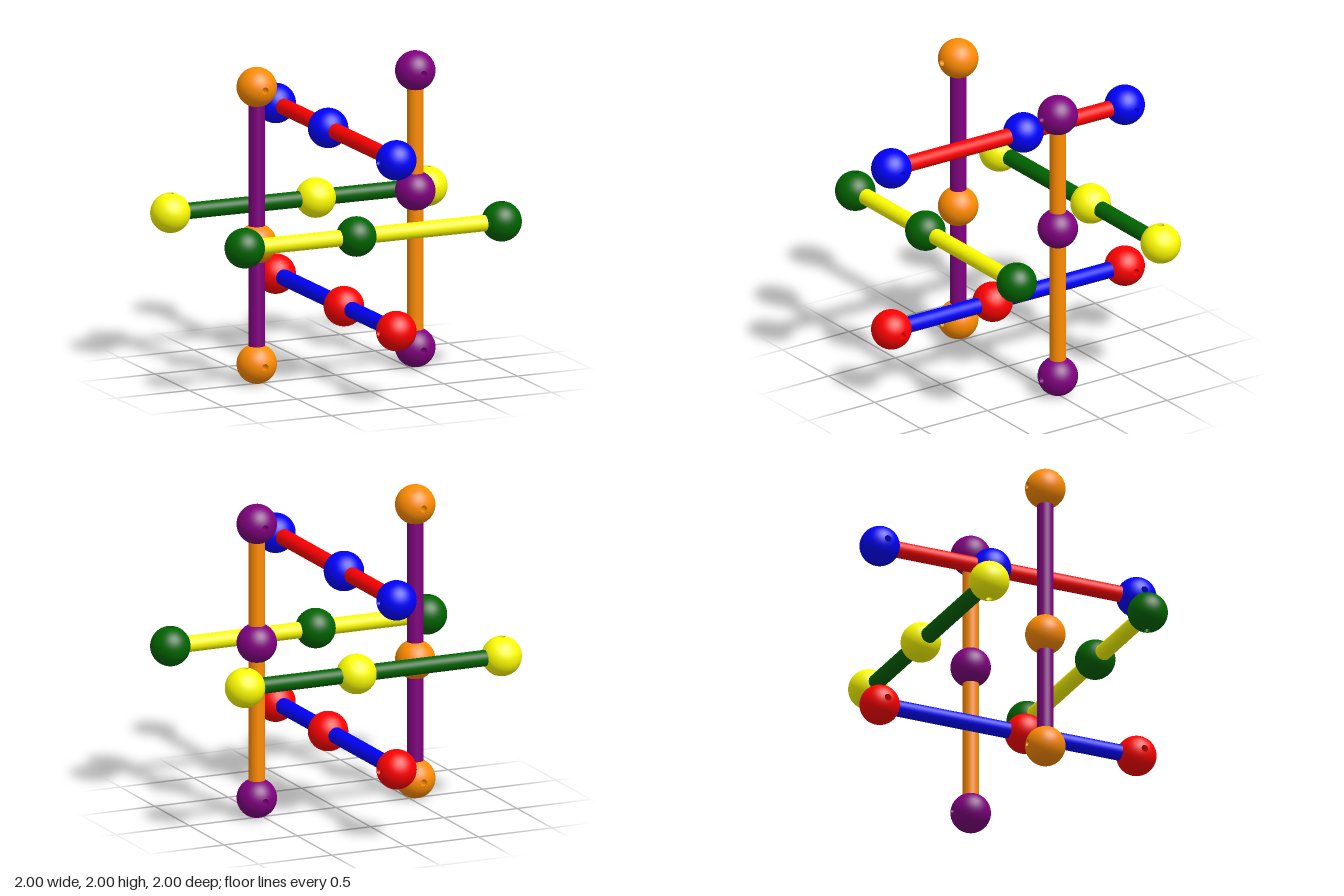
import * as THREE from 'three';
import { mergeGeometries } from 'three/addons/utils/BufferGeometryUtils.js';

const BEAD_R = 0.125, ROD_R = 0.051, HOLE_R = 0.022;
const END = 0.875;      // distance of end beads from the strut's middle
const OFFSET = 0.54;    // distance of each strut from the centre
const SHIFT = 0.115;    // how far each middle bead slides along its strut

// Sphere drilled through along its local y axis
function drilledBead() {
  const start = Math.asin(HOLE_R / BEAD_R), h = BEAD_R * Math.cos(start);
  const outer = [];
  for (let i = 0; i <= 28; i++) {
    const a = start + (Math.PI - 2 * start) * i / 28;
    outer.push(new THREE.Vector2(BEAD_R * Math.sin(a), -BEAD_R * Math.cos(a)));
  }
  const wall = [new THREE.Vector2(HOLE_R, h), new THREE.Vector2(HOLE_R, -h)];
  return mergeGeometries([new THREE.LatheGeometry(outer, 40), new THREE.LatheGeometry(wall, 40)]);
}

export function createModel() {
  const model = new THREE.Group();
  model.name = 'interlockingStruts';

  const colors = {
    orange: 0xff8c00, purple: 0x800080, red: 0xff0000,
    blue: 0x0000ff, yellow: 0xffff00, green: 0x006400,
  };
  const materials = {};
  for (const key in colors) materials[key] = new THREE.MeshStandardMaterial({ color: colors[key] });

  // Rod stops short of the drilled holes in the end beads
  const rodGeometry = new THREE.CylinderGeometry(ROD_R, ROD_R, 2 * (END - 0.06), 32).rotateZ(Math.PI / 2);
  const endGeometry = drilledBead();
  const middleGeometry = new THREE.SphereGeometry(BEAD_R, 40, 28);

  // One strut along local x, end holes along local y
  function strut(name, rodColor, beadColor, shift) {
    const group = new THREE.Group();
    group.name = name;
    const add = (part, geometry, color, x) => {
      const mesh = new THREE.Mesh(geometry, materials[color]);
      mesh.name = part;
      mesh.position.x = x;
      group.add(mesh);
    };
    add('rod', rodGeometry, rodColor, 0);
    add('endBead', endGeometry, beadColor, -END);
    add('endBead', endGeometry, beadColor, END);
    add('middleBead', middleGeometry, beadColor, shift);
    return group;
  }

  const X = new THREE.Vector3(1, 0, 0), Y = new THREE.Vector3(0, 1, 0), Z = new THREE.Vector3(0, 0, 1);
  // name, rod, beads, middle bead shift, basis (along, hole, side), offset from centre
  const struts = [
    ['leftUpright', 'orange', 'purple', SHIFT, [Y, Z, X], [OFFSET, 0, 0]],
    ['rightUpright', 'purple', 'orange', -SHIFT, [Y, Z, X], [-OFFSET, 0, 0]],
    ['frontCrossbar', 'yellow', 'green', -SHIFT, [X, Y, Z], [0, 0, OFFSET]],
    ['backCrossbar', 'green', 'yellow', SHIFT, [X, Y, Z], [0, 0, -OFFSET]],
    ['upperRail', 'red', 'blue', -SHIFT, [Z, X, Y], [0, OFFSET, 0]],
    ['lowerRail', 'blue', 'red', SHIFT, [Z, X, Y], [0, -OFFSET, 0]],
  ];
  for (const [name, rod, bead, shift, basis, [x, y, z]] of struts) {
    const group = strut(name, rod, bead, shift);
    group.quaternion.setFromRotationMatrix(new THREE.Matrix4().makeBasis(...basis));
    group.position.set(x, y + 1, z);
    model.add(group);
  }
  return model;
}
